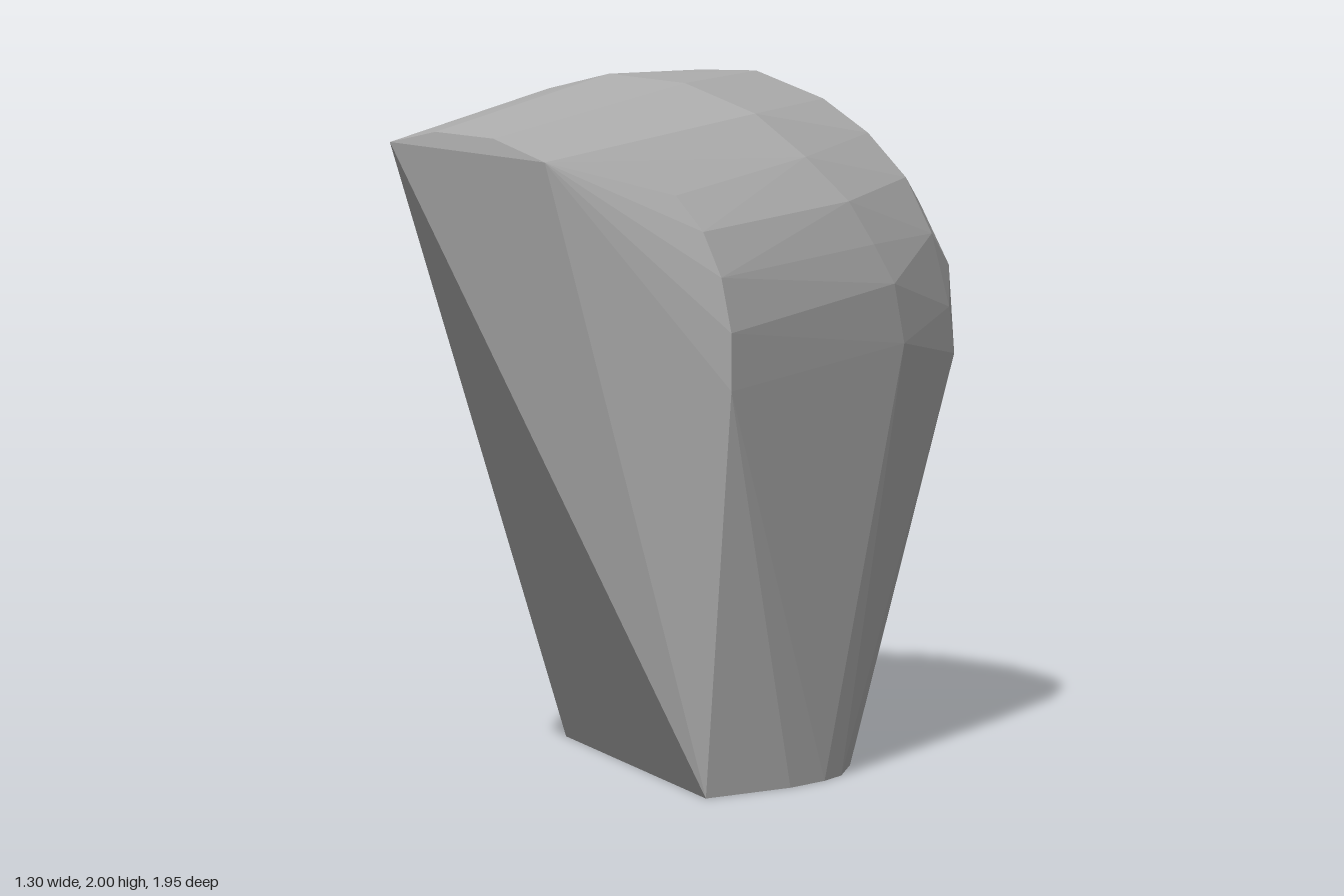
import * as THREE from 'three';
import { ConvexGeometry } from 'three/addons/geometries/ConvexGeometry.js';

export function createModel() {
  const group = new THREE.Group();
  const grey = new THREE.MeshStandardMaterial({ color: 0xb2b2b2 });
  grey.name = 'plainGrey';

  // flat half-round foot, [x, z] at ground level
  const foot = [
    [0.48, 0.44], [0.59, 0.13], [0.61, -0.04], [0.6, -0.16], [0.52, -0.36],
    [0.34, -0.54], [0.14, -0.63], [-0.04, -0.64], [-0.27, -0.6], [-0.48, -0.48],
  ].map(([x, z]) => [x, 0, z]);

  // oval flat back, [x, y]
  const back = [
    [-0.58, 1.29], [-0.53, 1.5], [-0.39, 1.67], [-0.19, 1.74], [0.08, 1.7],
    [0.29, 1.58], [0.44, 1.38], [0.5, 1.16], [0.43, 0.96], [0.21, 0.81],
    [-0.03, 0.76], [-0.29, 0.78], [-0.44, 0.88], [-0.54, 1.1],
  ].map(([x, y]) => [x, y, -0.975]);

  // thin curved lip at the top front
  const lip = [[-0.27, 1.935], [-0.12, 1.975], [0.07, 1.968], [0.24, 1.91]]
    .map(([x, y]) => [x, y, 0.975]);

  // shoulder behind the lip
  const shoulder = [[-0.43, 1.85], [0.43, 1.77], [0.52, 1.67], [0.58, 1.54], [0.613, 1.38], [0.613, 1.21]]
    .map(([x, y]) => [x, y, 0.53]);

  // arch over the middle
  const arch = [
    [-0.37, 1.94, -0.17], [-0.16, 2, -0.15], [0.09, 1.99, -0.15], [0.3, 1.91, -0.19],
    [0.45, 1.79, -0.22], [0.56, 1.66, -0.28], [0.61, 1.53, -0.34], [0.645, 1.41, -0.4],
    [0.65, 1.23, -0.45],
  ];

  // two rings that round the arch into the back
  const outerRing = [
    [-0.65, 1.07, -0.82], [-0.655, 1.51, -0.79], [-0.34, 1.87, -0.83], [-0.2, 1.93, -0.78],
    [-0.05, 1.93, -0.84], [0.16, 1.86, -0.86], [0.34, 1.78, -0.8], [0.47, 1.66, -0.79],
    [0.55, 1.5, -0.8], [0.575, 1.28, -0.86], [0.575, 1.14, -0.89],
  ];
  const innerRing = [
    [-0.63, 1.4, -0.91], [-0.33, 1.79, -0.92], [0, 1.84, -0.92],
    [0.28, 1.71, -0.93], [0.45, 1.57, -0.91], [0.53, 1.39, -0.94],
  ];

  const points = [foot, back, lip, shoulder, arch, outerRing, innerRing]
    .flat().map((p) => new THREE.Vector3(...p));
  const body = new THREE.Mesh(new ConvexGeometry(points), grey);
  body.name = 'facetedBlock';
  group.add(body);
  return group;
}
